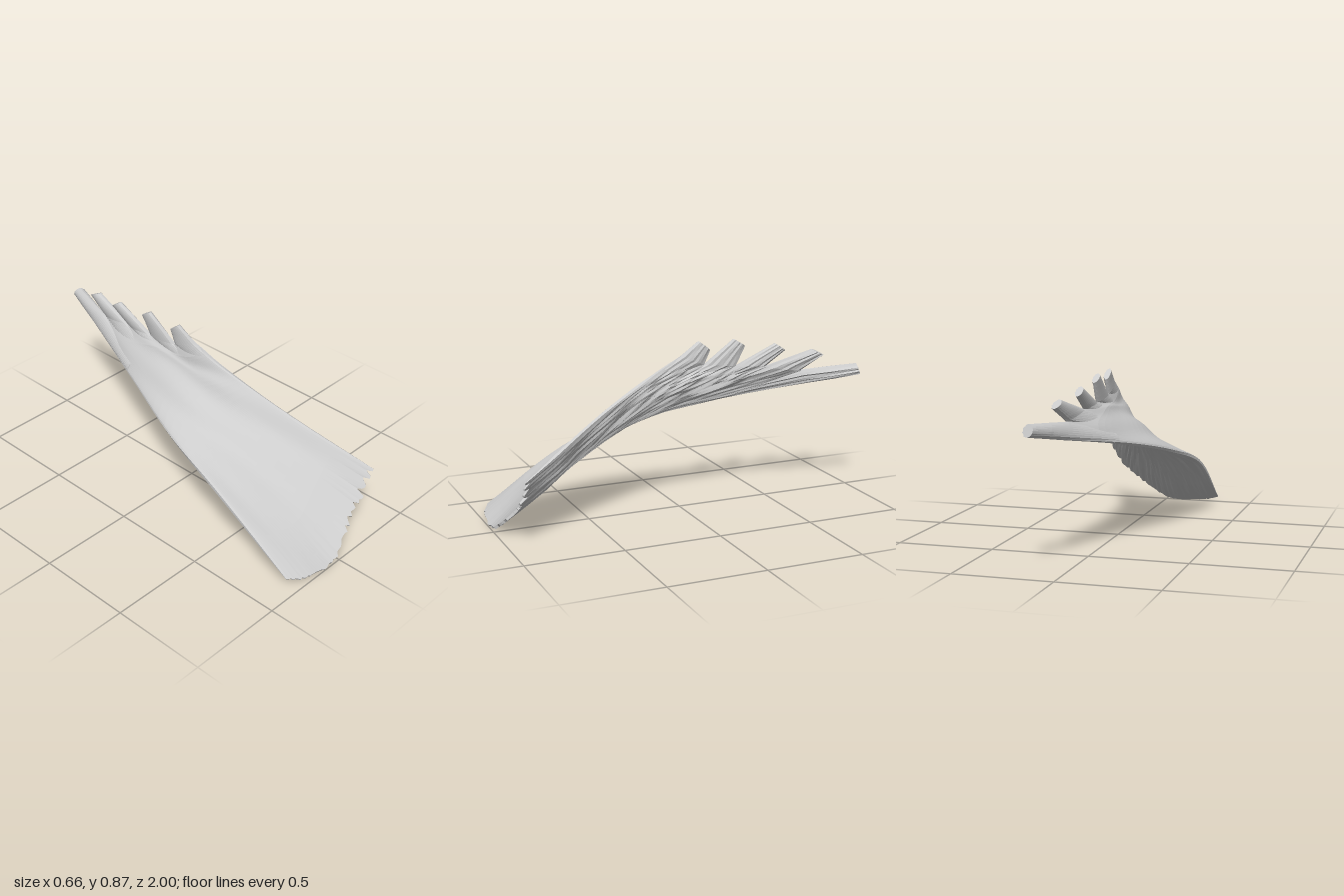
import * as THREE from 'three';

const V = (p) => new THREE.Vector3(...p);

// Guide lines running from the broad front edge to the notches between the fingers
const lines = [
  [[-0.325, 0.045, 0.935], [-0.323, 0.335, 0.45], [-0.265, 0.435, 0.11], [-0.13, 0.53, -0.3], [0.03, 0.605, -0.75]],
  [[-0.2, 0.02, 0.98], [-0.22, 0.32, 0.48], [-0.18, 0.485, 0.07], [-0.073, 0.588, -0.3], [0.045, 0.68, -0.68]],
  [[-0.03, 0.02, 0.985], [-0.1, 0.335, 0.5], [-0.105, 0.532, 0.1], [-0.033, 0.638, -0.2], [0.025, 0.715, -0.48]],
  [[0.12, 0.12, 0.94], [0, 0.39, 0.5], [-0.035, 0.582, 0.12], [0.002, 0.668, -0.1], [0.017, 0.73, -0.31]],
  [[0.245, 0.225, 0.92], [0.085, 0.46, 0.5], [0.026, 0.635, 0.2], [0.017, 0.695, 0.03], [0.015, 0.75, -0.13]],
  [[0.325, 0.345, 0.92], [0.16, 0.55, 0.53], [0.075, 0.68, 0.27], [0.042, 0.75, 0.12], [0.025, 0.81, 0]],
].map((pts) => new THREE.CatmullRomCurve3(pts.map(V)));

// Low and high tip corner and half thickness of each finger, from the longest to the shortest
const fingers = [
  { low: [0.12, 0.648, -0.995], high: [0.125, 0.705, -0.97], thick: 0.029 },
  { low: [0.062, 0.755, -0.805], high: [0.06, 0.79, -0.735], thick: 0.022 },
  { low: [0.022, 0.79, -0.595], high: [0.02, 0.83, -0.535], thick: 0.018 },
  { low: [0.013, 0.83, -0.365], high: [0.01, 0.87, -0.3], thick: 0.016 },
  { low: [0.017, 0.825, -0.165], high: [0.014, 0.875, -0.1], thick: 0.015 },
];

function seeded(seed) {
  return () => {
    seed = (seed * 16807) % 2147483647;
    return seed / 2147483647;
  };
}

// Closed skin through rings; each ring is the top row followed by the bottom row reversed
function loft(rings) {
  const L = rings[0].length;
  const pos = rings.flat().flatMap((p) => [p.x, p.y, p.z]);
  const index = [];
  for (let r = 0; r < rings.length - 1; r++) {
    for (let i = 0; i < L; i++) {
      const a = r * L + i;
      const b = r * L + ((i + 1) % L);
      index.push(a, b, a + L, b, b + L, a + L);
    }
  }
  const e = (rings.length - 1) * L;
  for (let i = 0; i < L / 2 - 1; i++) {
    const j = L - 1 - i;
    index.push(i, j, i + 1, i + 1, j, j - 1);
    index.push(e + i, e + i + 1, e + j, e + i + 1, e + j - 1, e + j);
  }
  const g = new THREE.BufferGeometry();
  g.setAttribute('position', new THREE.Float32BufferAttribute(pos, 3));
  g.setIndex(index);
  g.computeVertexNormals();
  return g;
}

// Broad twisted sheet with a thin ragged front lip and a fibrous underside
function sheetGeometry() {
  const COLS = 56;
  const ROWS = 28;
  const rnd = seeded(77);
  const jag = [];
  const fibre = [];
  for (let i = 0; i <= COLS; i++) {
    const u = i / COLS;
    jag.push(u > 0.52 && u < 0.97 ? rnd() * 0.05 - 0.03 : rnd() * 0.014);
    fibre.push(rnd() * 6.28);
  }
  const across = (v) => new THREE.CatmullRomCurve3(lines.map((c) => c.getPoint(Math.min(1, Math.max(0, v)))));

  const rings = [];
  for (let r = 0; r <= ROWS; r++) {
    const v = r / ROWS;
    const here = across(v);
    const before = across(v - 0.02);
    const after = across(v + 0.02);
    const front = Math.max(0, 1 - v / 0.1);
    const taper = Math.min(1, 0.25 + (1 - v) * 5) * (1 - 0.7 * front);
    const body = 0.021 + 0.008 * Math.sin(Math.PI * v);
    const top = [];
    const bottom = [];
    for (let i = 0; i <= COLS; i++) {
      const u = i / COLS;
      const p = here.getPoint(u);
      const du = here.getPoint(Math.min(1, u + 0.02)).sub(here.getPoint(Math.max(0, u - 0.02)));
      const dv = after.getPoint(u).sub(before.getPoint(u)).normalize();
      const n = du.cross(dv).normalize();
      const rim = 0.25 + 0.75 * Math.sqrt(Math.max(0, Math.sin(Math.PI * u)));
      const half = body * rim * taper;
      const groove = 0.0055 * Math.sin(fibre[i] + v * 14) * rim * taper;
      const swell = 0.003 * Math.sin(u * 17 + v * 13) * rim * taper;
      p.addScaledVector(dv, -jag[i] * front);
      top.push(p.clone().addScaledVector(n, half + swell));
      bottom.push(p.clone().addScaledVector(n, -half + groove));
    }
    rings.push([...top, ...bottom.reverse()]);
  }
  return loft(rings);
}

// Tapering finger continuing the strip between two neighbouring guide lines
function fingerGeometry(finger, k) {
  const COLS = 9;
  const stations = [0.78, 0.86, 0.94, 1];
  const low = stations.map((v) => lines[k].getPoint(v));
  const high = stations.map((v) => lines[k + 1].getPoint(v));
  const [baseLow, baseHigh] = [low[3], high[3]];
  for (const t of [0.25, 0.5, 0.75, 1]) {
    low.push(baseLow.clone().lerp(V(finger.low), t));
    high.push(baseHigh.clone().lerp(V(finger.high), t));
  }
  const mid = low.map((p, i) => p.clone().add(high[i]).multiplyScalar(0.5));
  const last = mid.length - 1;
  const rings = mid.map((_, r) => {
    const dir = mid[Math.min(last, r + 1)].clone().sub(mid[Math.max(0, r - 1)]);
    const n = high[r].clone().sub(low[r]).cross(dir).normalize();
    const thick = THREE.MathUtils.lerp(0.018, finger.thick, Math.min(1, r / 5));
    const top = [];
    const bottom = [];
    for (let i = 0; i <= COLS; i++) {
      const u = i / COLS;
      const half = thick * (0.15 + 0.85 * Math.sqrt(Math.max(0, Math.sin(Math.PI * u))));
      const groove = 0.15 * thick * Math.sin(i * 2.3 + k + r * 0.3);
      const p = low[r].clone().lerp(high[r], u);
      top.push(p.clone().addScaledVector(n, half));
      bottom.push(p.clone().addScaledVector(n, -half + groove));
    }
    return [...top, ...bottom.reverse()];
  });
  return loft(rings);
}

export function createModel() {
  const group = new THREE.Group();
  group.name = 'fanMuscle';
  const grey = new THREE.MeshStandardMaterial({ color: 0xcccccc, flatShading: true });
  grey.name = 'paleGrey';

  const sheet = new THREE.Mesh(sheetGeometry(), grey);
  sheet.name = 'muscleSheet';
  group.add(sheet);

  fingers.forEach((finger, k) => {
    const mesh = new THREE.Mesh(fingerGeometry(finger, k), grey);
    mesh.name = 'finger' + (k + 1);
    group.add(mesh);
  });
  return group;
}
